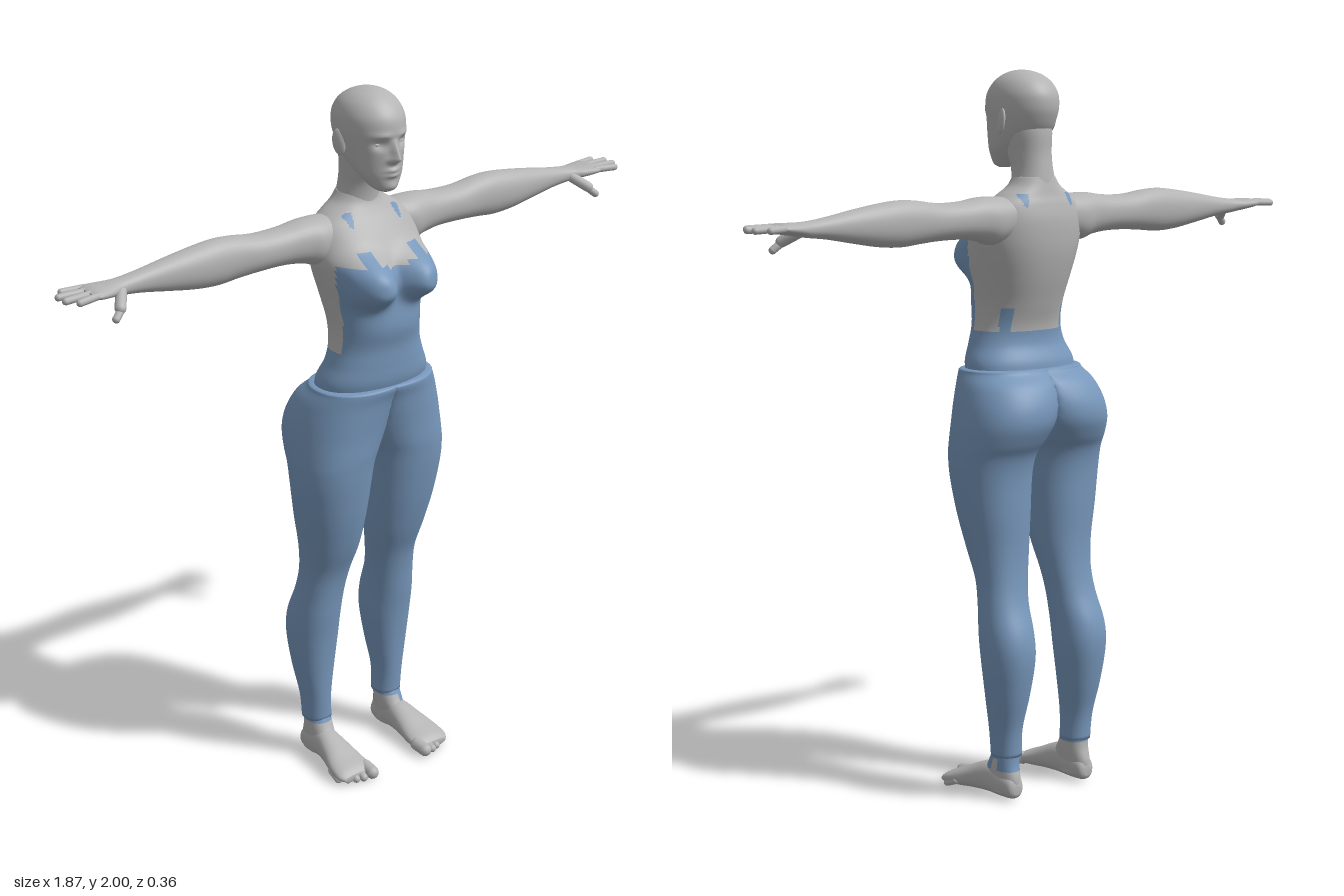
import * as THREE from 'three';

const skin = new THREE.MeshStandardMaterial({ color: 0xb4b4b4 });
skin.name = 'skin';
const fabric = new THREE.MeshStandardMaterial({ color: 0x7797bb });
fabric.name = 'fabric';

const MAP = {
  x: (t, a, b) => [t, a, b],
  y: (t, a, b) => [a, t, b],
  z: (t, a, b) => [a, b, t],
};

function spline(rows, u) {
  const i = Math.min(Math.floor(u), rows.length - 2), f = u - i;
  const at = k => rows[Math.max(0, Math.min(rows.length - 1, k))];
  return rows[i].map((p1, c) => {
    const p0 = at(i - 1)[c], p2 = at(i + 1)[c], p3 = at(i + 2)[c];
    return p1 + 0.5 * f * (p2 - p0 + f * (2 * p0 - 5 * p1 + 4 * p2 - p3 + f * (3 * (p1 - p2) + p3 - p0)));
  });
}

// Lofts rounded sections; each row is [position, minA, maxA, minB, maxB].
function loft(name, rows, { axis = 'y', s = 1, seg = 32, sub = 5, power = 0.9, warp, isFabric, material = skin }) {
  const pos = [], lists = [[], []], n = (rows.length - 1) * sub;
  const bend = v => Math.sign(v) * Math.abs(v) ** power;
  const put = p => { if (warp) warp(p); pos.push(p[0] * s, p[1], p[2]); };
  for (let i = 0; i <= n; i++) {
    const [t, a0, a1, b0, b1] = spline(rows, i / sub);
    for (let j = 0; j < seg; j++) {
      const q = j / seg * Math.PI * 2;
      put(MAP[axis](t, (a0 + a1) / 2 + (a1 - a0) / 2 * bend(Math.cos(q)), (b0 + b1) / 2 + (b1 - b0) / 2 * bend(Math.sin(q))));
    }
  }
  for (const r of [rows[0], rows[rows.length - 1]]) put(MAP[axis](r[0], (r[1] + r[2]) / 2, (r[3] + r[4]) / 2));
  const flip = (axis === 'y') === (s > 0);
  const face = (a, b, c, k) => lists[k].push(a, ...(flip ? [c, b] : [b, c]));
  for (let i = 0; i < n; i++) for (let j = 0; j < seg; j++) {
    const a = i * seg + j, b = i * seg + (j + 1) % seg, c = a + seg, d = b + seg;
    const mid = [0, 1, 2].map(k => (pos[a * 3 + k] + pos[d * 3 + k]) / 2);
    const k = isFabric && isFabric(...mid) ? 1 : 0;
    face(a, b, c, k);
    face(b, d, c, k);
  }
  const low = (n + 1) * seg;
  for (let j = 0; j < seg; j++) {
    const m = (j + 1) % seg;
    face(low, m, j, 0);
    face(low + 1, n * seg + j, n * seg + m, 0);
  }
  const g = new THREE.BufferGeometry();
  g.setAttribute('position', new THREE.Float32BufferAttribute(pos, 3));
  g.setIndex([...lists[0], ...lists[1]]);
  g.computeVertexNormals();
  if (isFabric) {
    g.addGroup(0, lists[0].length, 0);
    g.addGroup(lists[0].length, lists[1].length, 1);
  }
  const mesh = new THREE.Mesh(g, isFabric ? [skin, fabric] : material);
  mesh.name = name;
  return mesh;
}

function ball(name, [x, y, z], [rx, ry, rz]) {
  const m = new THREE.Mesh(new THREE.SphereGeometry(1, 32, 20), skin);
  m.position.set(x, y, z);
  m.scale.set(rx, ry, rz);
  m.name = name;
  return m;
}

function capsule(name, a, b, r) {
  const p = new THREE.Vector3(...a), d = new THREE.Vector3(...b).sub(p);
  const m = new THREE.Mesh(new THREE.CapsuleGeometry(r, d.length(), 6, 12), skin);
  m.position.copy(p).addScaledVector(d, 0.5);
  m.quaternion.setFromUnitVectors(new THREE.Vector3(0, 1, 0), d.normalize());
  m.name = name;
  return m;
}

const bump = (v, c, w) => Math.exp(-(((v - c) / w) ** 2));

// Open-backed bodice with ragged edges and loose scraps at the shoulders
function bodice(x, y, z) {
  const ax = Math.abs(x);
  if (y > 1.635) return y < 1.67 && Math.abs(ax - 0.08) < 0.004 + (y - 1.635) * 0.3 && (z > 0 || z < -0.08);
  if (z > 0.05) return y < (Math.abs(ax - 0.08) < 0.018 ? 1.583 : ax < 0.03 ? 1.535 : 1.548);
  return y < 1.3 || (z < -0.03 && Math.abs(ax - 0.1) < 0.013 && y < 1.36);
}

// Bust swelling out of the chest
function bustShape(p) {
  const [x, y, z] = p;
  if (z <= 0) return;
  const r = Math.hypot((Math.abs(x) - 0.083) / 0.068, (y - 1.495) / (y > 1.495 ? 0.068 : 0.055));
  p[2] += 0.08 * Math.min(1, z / 0.06) * Math.exp(-(r ** 3));
}

// Sockets, nose, lips and chin pushed out of the head surface
function faceShape(p) {
  const [x, y, z] = p, ax = Math.abs(x);
  if (z < 0.03) return;
  const nose = y > 1.83 ? Math.max(0, (1.885 - y) / 0.055) : Math.max(0, (y - 1.812) / 0.018);
  p[2] += 0.03 * nose * bump(x, 0, 0.009 + 0.006 * bump(y, 1.825, 0.012))
    - 0.012 * bump(ax, 0.036, 0.016) * bump(y, 1.87, 0.013)
    + 0.005 * bump(ax, 0.035, 0.025) * bump(y, 1.893, 0.008)
    + 0.008 * bump(x, 0, 0.02) * (bump(y, 1.798, 0.006) + bump(y, 1.784, 0.006))
    + 0.005 * bump(x, 0, 0.02) * bump(y, 1.752, 0.012);
}

// Legs meet on the centre plane at the hips
const centreSeam = p => { p[0] = Math.max(p[0], -0.001); };

export function createModel() {
  const model = new THREE.Group();

  model.add(loft('torso', [
    [1.16, -0.17, 0.17, -0.1, 0.1], [1.21, -0.17, 0.17, -0.095, 0.115], [1.26, -0.148, 0.148, -0.075, 0.118],
    [1.31, -0.133, 0.133, -0.075, 0.12], [1.37, -0.13, 0.13, -0.092, 0.13], [1.44, -0.142, 0.142, -0.113, 0.122],
    [1.5, -0.156, 0.156, -0.126, 0.11], [1.55, -0.165, 0.165, -0.131, 0.1], [1.6, -0.16, 0.16, -0.13, 0.07],
    [1.64, -0.145, 0.145, -0.122, 0.042], [1.665, -0.115, 0.115, -0.114, 0.024], [1.69, -0.077, 0.077, -0.108, 0.01],
    [1.715, -0.058, 0.058, -0.102, 0.004],
  ], { seg: 112, sub: 8, warp: bustShape, isFabric: bodice }));
  model.add(loft('neck', [
    [1.62, -0.08, 0.08, -0.11, 0.02], [1.67, -0.07, 0.07, -0.108, 0.012], [1.7, -0.062, 0.062, -0.106, 0.01],
    [1.74, -0.056, 0.056, -0.1, 0.016], [1.78, -0.058, 0.058, -0.095, 0.03], [1.83, -0.062, 0.062, -0.094, 0.03],
    [1.87, -0.06, 0.06, -0.09, 0.03],
  ], { power: 1 }));

  // Head
  model.add(loft('head', [
    [1.736, -0.016, 0.016, 0.055, 0.085], [1.744, -0.032, 0.032, 0.035, 0.096], [1.76, -0.046, 0.046, 0.01, 0.1],
    [1.785, -0.062, 0.062, -0.025, 0.103], [1.81, -0.071, 0.071, -0.06, 0.105], [1.84, -0.078, 0.078, -0.09, 0.107],
    [1.87, -0.084, 0.084, -0.106, 0.108], [1.9, -0.088, 0.088, -0.114, 0.11], [1.935, -0.086, 0.086, -0.111, 0.104],
    [1.965, -0.073, 0.073, -0.092, 0.083], [1.985, -0.052, 0.052, -0.064, 0.057], [1.996, -0.027, 0.027, -0.034, 0.03],
    [2, -0.003, 0.003, -0.004, 0.004],
  ], { seg: 112, sub: 6, power: 0.97, warp: faceShape }));

  for (const s of [1, -1]) {
    const side = s > 0 ? 'left' : 'right';
    const ear = ball(side + 'Ear', [s * 0.087, 1.863, -0.016], [0.008, 0.035, 0.02]);
    ear.rotation.set(-0.2, s * -0.35, 0);
    model.add(ear, ball(side + 'Eye', [s * 0.035, 1.868, 0.077], [0.015, 0.008, 0.011]));

    // Trouser leg with hip and buttock
    model.add(loft(side + 'TrouserLeg', [
      [0.125, 0.088, 0.17, -0.126, -0.04], [0.2, 0.09, 0.175, -0.132, -0.036], [0.3, 0.075, 0.192, -0.155, -0.03],
      [0.4, 0.062, 0.204, -0.17, -0.02], [0.47, 0.06, 0.204, -0.163, -0.01], [0.55, 0.056, 0.195, -0.132, 0.0],
      [0.62, 0.045, 0.192, -0.117, 0.015], [0.7, 0.03, 0.203, -0.112, 0.045], [0.8, 0.02, 0.222, -0.116, 0.073],
      [0.9, 0.012, 0.236, -0.12, 0.092], [0.96, 0.003, 0.239, -0.132, 0.1], [1.0, -0.015, 0.238, -0.155, 0.104],
      [1.05, -0.04, 0.234, -0.175, 0.106], [1.1, -0.06, 0.224, -0.172, 0.11], [1.15, -0.08, 0.207, -0.148, 0.115],
      [1.182, -0.1, 0.189, -0.114, 0.122], [1.192, -0.1, 0.184, -0.107, 0.12], [1.195, -0.09, 0.17, -0.094, 0.108],
    ], { s, seg: 64, warp: centreSeam, material: fabric }));

    // Ankle, with a ragged cuff on the left
    model.add(loft(side + 'Ankle', [
      [0.02, 0.1, 0.165, -0.13, -0.02], [0.06, 0.098, 0.165, -0.132, 0.0], [0.1, 0.094, 0.166, -0.122, -0.025],
      [0.14, 0.094, 0.164, -0.12, -0.045],
    ], { s, isFabric: (x, y, z) => y > (x > 0 && (z < -0.1 || Math.abs(x - 0.15) < 0.015) ? 0.085 : 0.115) }));

    // Foot and toes
    model.add(loft(side + 'Foot', [
      [-0.133, 0.12, 0.145, 0.02, 0.045], [-0.122, 0.105, 0.16, 0.008, 0.07], [-0.08, 0.098, 0.168, 0.006, 0.09],
      [-0.03, 0.096, 0.172, 0.008, 0.098], [0.02, 0.09, 0.184, 0.008, 0.082], [0.07, 0.083, 0.198, 0.006, 0.06],
      [0.11, 0.082, 0.2, 0.006, 0.044], [0.13, 0.095, 0.187, 0.01, 0.03],
    ], { s, axis: 'z' }));
    for (let i = 0; i < 5; i++) {
      const r = i ? 0.0125 - i * 0.0006 : 0.019, x = i ? 0.107 + i * 0.021 : 0.099, z = 0.14 - i * i * 0.0025;
      model.add(capsule(side + 'Toe', [s * (x - 0.002), 0.026, z - 0.035], [s * x, r + 0.003, z], r));
    }

    // Arm
    model.add(loft(side + 'Arm', [
      [0.08, 1.56, 1.66, -0.105, 0.005], [0.15, 1.535, 1.665, -0.108, 0.02], [0.2, 1.547, 1.664, -0.102, 0.012],
      [0.26, 1.555, 1.656, -0.098, 0.004], [0.34, 1.555, 1.655, -0.096, 0.002], [0.41, 1.55, 1.664, -0.096, -0.002],
      [0.47, 1.545, 1.667, -0.095, -0.002], [0.54, 1.55, 1.66, -0.092, -0.004], [0.62, 1.563, 1.648, -0.086, -0.012],
      [0.7, 1.577, 1.634, -0.08, -0.02], [0.76, 1.584, 1.626, -0.08, -0.02], [0.8, 1.59, 1.624, -0.09, -0.005],
      [0.84, 1.596, 1.624, -0.094, 0.006], [0.86, 1.602, 1.618, -0.088, 0.0],
    ], { s, axis: 'x' }));

    // Fingers and thumb
    [[0.9, -0.092, -0.08], [0.926, -0.063, -0.056], [0.926, -0.028, -0.032], [0.905, 0.004, -0.007]].forEach(([x, z, root]) =>
      model.add(capsule(side + 'Finger', [s * 0.84, 1.612, root], [s * x, 1.61, z], 0.0095)));
    model.add(capsule(side + 'ThumbBase', [s * 0.765, 1.6, -0.03], [s * 0.795, 1.573, 0.012], 0.015));
    model.add(capsule(side + 'Thumb', [s * 0.79, 1.573, 0.012], [s * 0.815, 1.552, 0.022], 0.0105));
  }
  return model;
}
